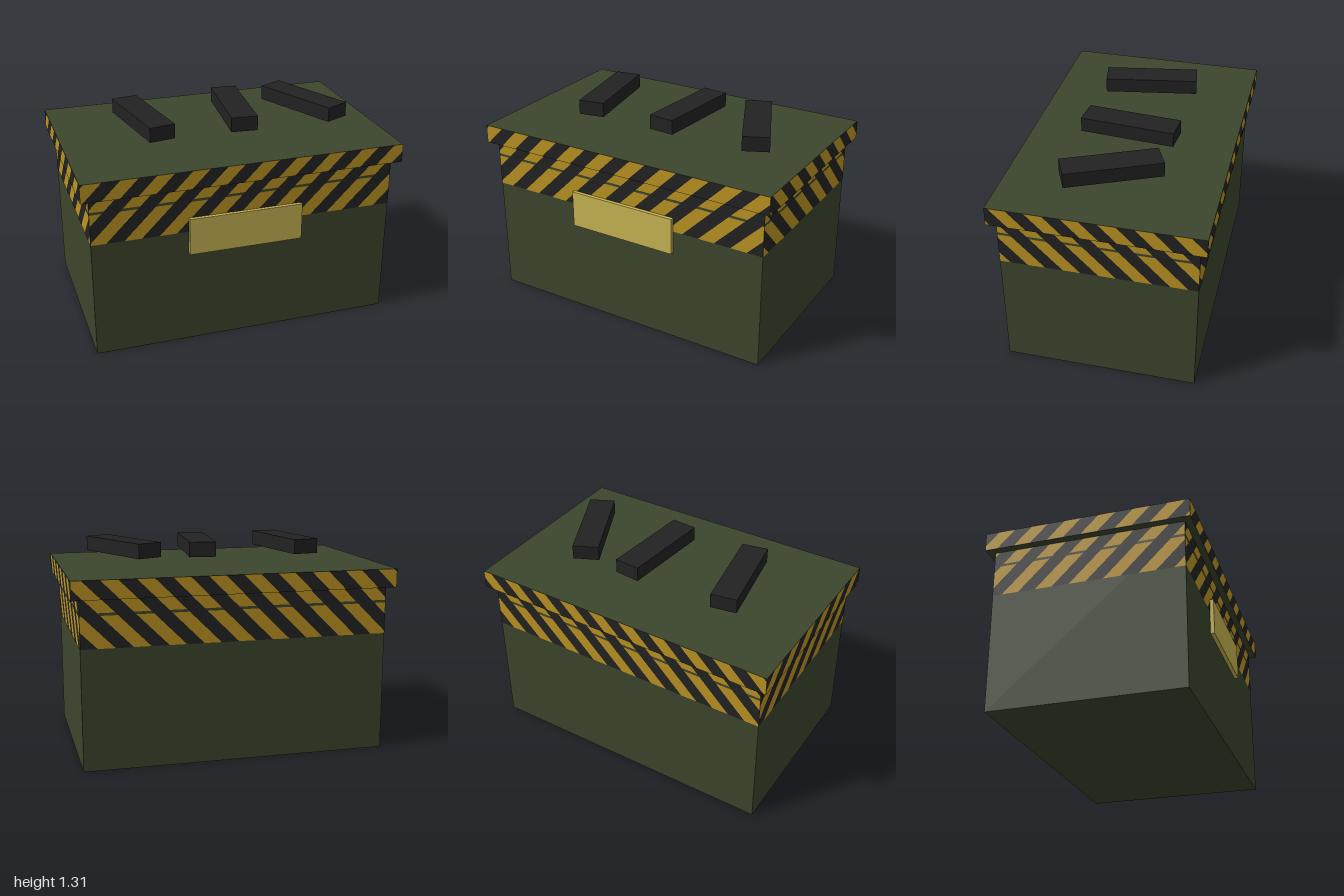
import * as THREE from 'three';
import { mergeGeometries } from 'three/addons/utils/BufferGeometryUtils.js';

const mat = (name, color) => {
  const m = new THREE.MeshStandardMaterial({ color });
  m.name = name;
  return m;
};

// Diagonal hazard stripes, measured along (u - y)
const PERIOD = 0.2128, DARK = 0.108, CENTRE = -0.058;

// Points of the 45 degree line u = y + a, clamped to the panel's half width
function edge(a, w, y0, y1) {
  const ys = [y0, ...[-w - a, w - a].filter((y) => y > y0 && y < y1), y1];
  return ys.map((y) => new THREE.Vector2(THREE.MathUtils.clamp(y + a, -w, w), y));
}

// All the dark (or all the yellow) stripes of one panel; slant mirrors them
function stripes(dark, w, y0, y1, slant) {
  const shapes = [];
  const width = dark ? DARK : PERIOD - DARK;
  const offset = dark ? -DARK / 2 : DARK / 2;
  for (let k = -14; k <= 14; k++) {
    const a = CENTRE + k * PERIOD + offset;
    const pts = [...edge(a, w, y0, y1), ...edge(a + width, w, y0, y1).reverse()]
      .map((p) => new THREE.Vector2(p.x * slant, p.y))
      .filter((p, i, all) => i === 0 || p.distanceTo(all[i - 1]) > 1e-6);
    if (pts.length > 2 && Math.abs(THREE.ShapeUtils.area(pts)) > 1e-5) shapes.push(new THREE.Shape(pts));
  }
  return new THREE.ShapeGeometry(shapes);
}

export function createModel() {
  const green = mat('olive green', 0x3c452c);
  const yellow = mat('hazard yellow', 0xbb9322);
  const black = mat('black', 0x222222);
  const brass = mat('pale yellow', 0xc8b452);

  const model = new THREE.Group();
  model.name = 'supplyCrate';
  const box = (name, material, size, pos, turn = 0) => {
    const m = new THREE.Mesh(new THREE.BoxGeometry(...size), material);
    m.name = name;
    m.position.set(...pos);
    m.rotation.y = turn;
    model.add(m);
  };

  // Crate, lid and front label plate
  const bodyX = 0.948, bodyZ = 0.595, lidX = 0.998, lidZ = 0.64;
  box('body', green, [bodyX * 2, 1.04, bodyZ * 2], [0, 0.52, 0]);
  box('lid', green, [lidX * 2, 0.115, lidZ * 2], [0, 1.0975, 0]);
  box('labelPlate', brass, [0.714, 0.235, 0.025], [0, 0.7185, 0.6075]);

  // Loose magazines hovering over the lid
  [[-0.477, 0.173], [0.118, -0.088], [0.595, 0.434]].forEach(([x, turn], i) =>
    box(`magazine${i + 1}`, black, [0.165, 0.092, 0.592], [x, 1.266, 0], turn));

  // Painted stripes around all four sides; a green groove interrupts the yellow
  const GAP = 0.002;
  const sides = [['front', 0, 1], ['right', Math.PI / 2, -1], ['back', Math.PI, -1], ['left', -Math.PI / 2, 1]];
  sides.forEach(([side, turn, slant], i) => {
    const across = i % 2 === 0;
    const [bw, bd] = across ? [bodyX, bodyZ] : [bodyZ, bodyX];
    const [lw, ld] = across ? [lidX, lidZ] : [lidZ, lidX];
    const band = (dark, y0, y1, w, d) => stripes(dark, w, y0, y1, slant).translate(0, 0, d + GAP);
    const parts = {
      Dark: [black, [band(true, 0.745, 1.04, bw, bd), band(true, 1.04, 1.155, lw, ld)]],
      Yellow: [yellow, [band(false, 0.745, 0.94, bw, bd), band(false, 0.956, 1.04, bw, bd),
        band(false, 1.04, 1.155, lw, ld)]],
    };
    for (const [tone, [material, geos]] of Object.entries(parts)) {
      const m = new THREE.Mesh(mergeGeometries(geos), material);
      m.name = `${side}${tone}Stripes`;
      m.rotation.y = turn;
      model.add(m);
    }
  });

  return model;
}
